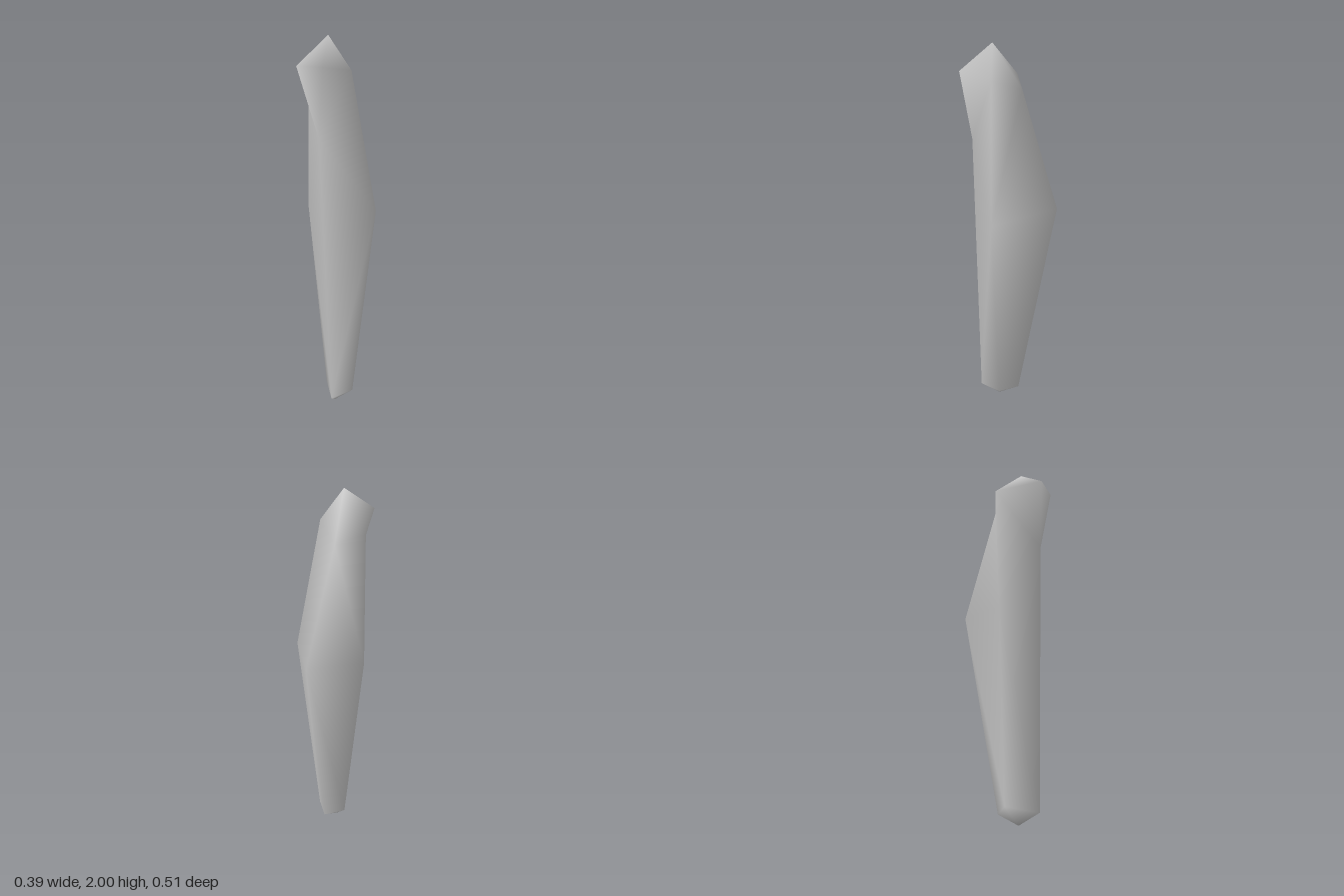
import * as THREE from 'three';

// Rough stick: four-sided shaft with pointed ends and a bent five-sided head
export function createModel() {
  const group = new THREE.Group();
  group.name = 'stick';

  const points = [
    // Foot section: left, front, right, back
    [0.065, 0.07, 0.045], [-0.015, 0.06, 0.16], [-0.1, 0.08, 0.01], [0, 0.07, -0.055],
    // Middle section: left, front, right, back
    [0.195, 1.12, 0.06], [-0.06, 1.5, 0.2], [-0.197, 1.1, 0.01], [0.022, 1.17, -0.255],
    // Head section: left, front left, front right, right, back
    [0.067, 1.83, 0.077], [-0.017, 1.86, 0.253], [-0.16, 1.86, 0.238],
    [-0.197, 1.82, -0.015], [-0.057, 1.77, -0.06],
    // Foot point and head point
    [-0.035, 0, 0.06], [-0.05, 2, 0.09],
  ];
  // The shaft's single front corner meets both front corners of the head
  const rings = [[0, 1, 1, 2, 3], [4, 5, 5, 6, 7], [8, 9, 10, 11, 12]];
  const footPoint = 13;
  const headPoint = 14;

  const index = [];
  const triangle = (a, b, c) => {
    if (a !== b && b !== c && a !== c) index.push(a, b, c);
  };

  for (let i = 0; i < 5; i++) {
    const j = (i + 1) % 5;
    // Side faces; those on the left fold along the other diagonal
    for (let r = 0; r < 2; r++) {
      const low = rings[r];
      const high = rings[r + 1];
      if (i === 0 || i === 4) {
        triangle(low[i], high[i], low[j]);
        triangle(high[i], high[j], low[j]);
      } else {
        triangle(low[i], high[i], high[j]);
        triangle(low[i], high[j], low[j]);
      }
    }
    // Pointed ends
    triangle(footPoint, rings[0][i], rings[0][j]);
    triangle(rings[2][i], headPoint, rings[2][j]);
  }

  const geometry = new THREE.BufferGeometry();
  geometry.setAttribute('position', new THREE.Float32BufferAttribute(points.flat(), 3));
  geometry.setIndex(index);
  geometry.computeVertexNormals();

  const shaft = new THREE.Mesh(geometry, new THREE.MeshStandardMaterial({ color: 0xcccccc }));
  shaft.name = 'shaft';
  group.add(shaft);
  return group;
}
